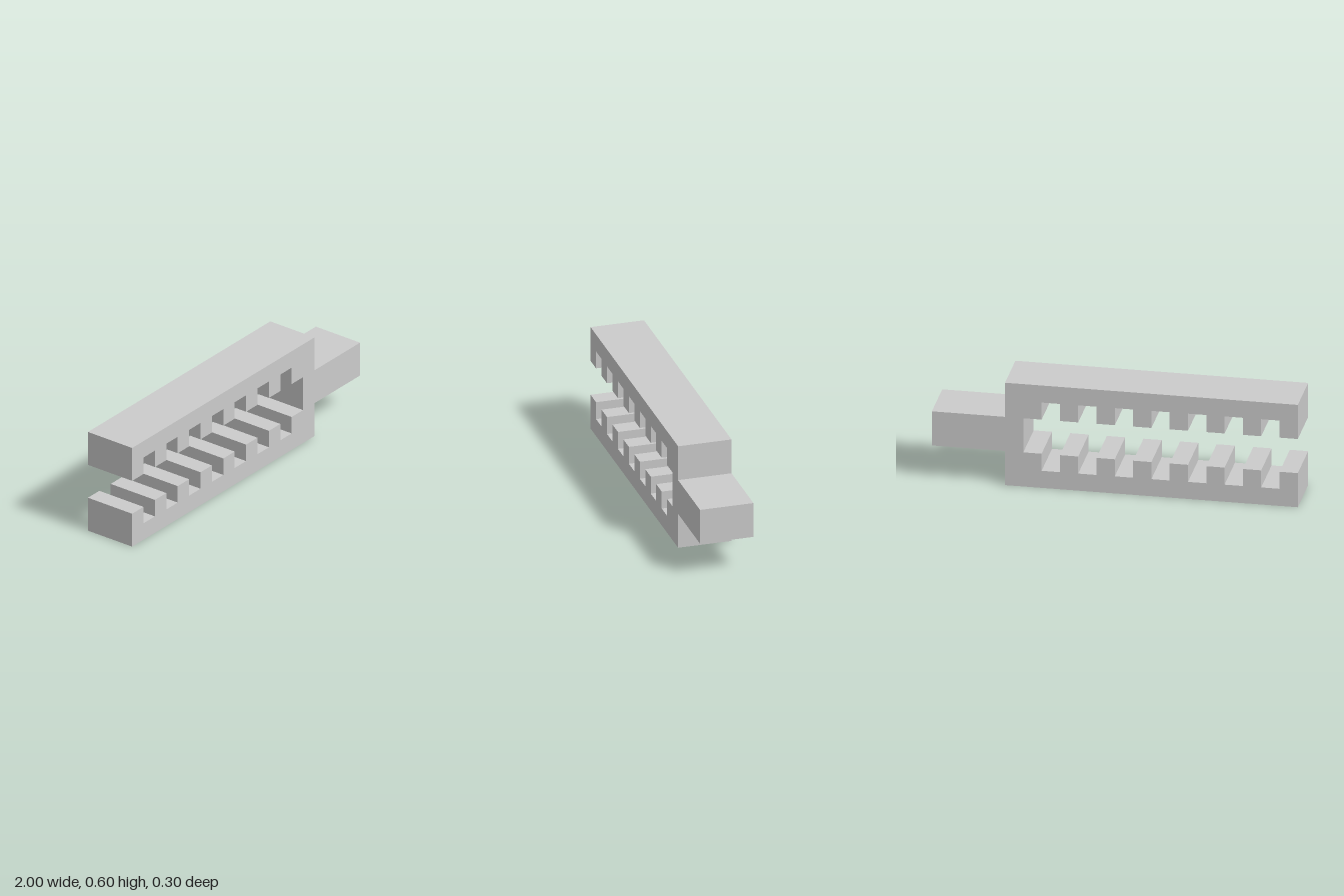
import * as THREE from 'three';

export function createModel() {
  const group = new THREE.Group();
  group.name = 'toothedClamp';

  // Lower half of the outline, measured from the horizontal centre line
  const half = [[1, -0.1], [0.6, -0.1], [0.6, -0.3], [-1, -0.3], [-1, -0.1]];

  // Seven square notches leave the teeth of the jaw
  for (let i = 0; i < 7; i++) {
    const x = -0.9 + 0.2 * i;
    half.push([x, -0.1], [x, -0.2], [x + 0.1, -0.2], [x + 0.1, -0.1]);
  }
  half.push([0.5, -0.1]); // inner end of the slot

  // Mirror the half to get the upper jaw, closing at the handle tip
  const outline = [...half, ...half.map(([x, y]) => [x, -y]).reverse()];
  const shape = new THREE.Shape(outline.map(([x, y]) => new THREE.Vector2(x, y + 0.3)));

  const depth = 0.3;
  const geometry = new THREE.ExtrudeGeometry(shape, { depth, bevelEnabled: false });
  geometry.translate(0, 0, -depth / 2);

  const body = new THREE.Mesh(
    geometry,
    new THREE.MeshStandardMaterial({ color: 0xcccccc, flatShading: true })
  );
  body.name = 'jawsAndHandle';
  group.add(body);
  return group;
}
